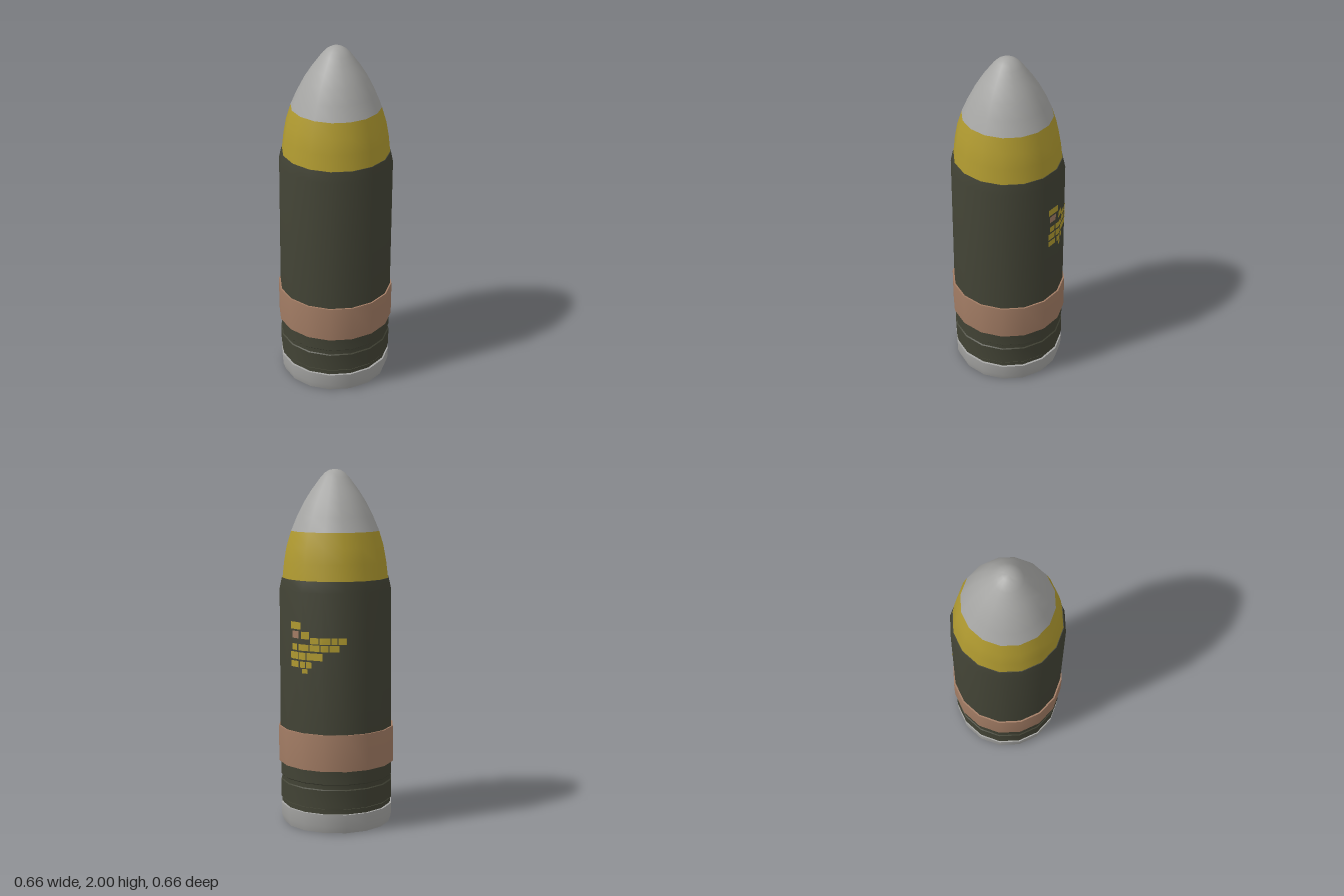
import * as THREE from 'three';
import { toCreasedNormals } from 'three/addons/utils/BufferGeometryUtils.js';

const SIDES = 16;
const lean = (y) => 0.006 * (y - 0.5); // the shell leans very slightly to +x

function material(name, color) {
  const m = new THREE.MeshStandardMaterial({ color });
  m.name = name;
  return m;
}

// Turned section from a bottom-to-top profile of [radius, height]
function turned(name, profile, mat) {
  const geo = new THREE.LatheGeometry(profile.map(([r, y]) => new THREE.Vector2(r, y)), SIDES);
  const p = geo.attributes.position;
  for (let i = 0; i < p.count; i++) p.setX(i, p.getX(i) + lean(p.getY(i)));
  const mesh = new THREE.Mesh(toCreasedNormals(geo, 0.6), mat);
  mesh.name = name;
  return mesh;
}

// Thin paint patch hugging the faceted wall; angles in degrees from the back towards -x
function paintPatch(a0, a1, y0, y1, mat) {
  const step = 360 / SIDES;
  const angles = [a0];
  for (let a = Math.ceil(a0 / step) * step; a < a1; a += step) if (a > a0) angles.push(a);
  angles.push(a1);
  const pos = [], index = [];
  angles.forEach((deg, i) => {
    const local = deg - Math.floor(deg / step) * step - step / 2;
    const r = 0.3205 * Math.cos(Math.PI / SIDES) / Math.cos(THREE.MathUtils.degToRad(local));
    const a = THREE.MathUtils.degToRad(deg);
    for (const y of [y0, y1]) pos.push(-r * Math.sin(a) + lean(y), y, -r * Math.cos(a));
    if (i > 0) {
      const k = 2 * i;
      index.push(k - 2, k, k + 1, k - 2, k + 1, k - 1);
    }
  });
  const geo = new THREE.BufferGeometry();
  geo.setAttribute('position', new THREE.Float32BufferAttribute(pos, 3));
  geo.setIndex(index);
  geo.computeVertexNormals();
  const mesh = new THREE.Mesh(geo, mat);
  mesh.name = 'paintPatch';
  return mesh;
}

export function createModel() {
  const steel = material('bare steel', 0xa6a6a4);
  const olive = material('dark olive', 0x424335);
  const yellow = material('yellow paint', 0xb09a30);
  const copper = material('copper', 0xa27c64);

  const model = new THREE.Group();
  model.name = 'artilleryShell';

  model.add(
    // Base plug
    turned('base', [[0, 0], [0.305, 0], [0.318, 0.04], [0.32, 0.108], [0.305, 0.108]], steel),
    // Grooved lower wall
    turned('lowerWall', [
      [0.307, 0.108], [0.307, 0.118], [0.315, 0.118], [0.315, 0.138], [0.308, 0.138],
      [0.308, 0.145], [0.32, 0.145], [0.32, 0.245], [0.314, 0.25], [0.314, 0.275],
      [0.319, 0.28], [0.319, 0.36],
    ], olive),
    // Driving band
    turned('drivingBand', [[0.316, 0.355], [0.329, 0.355], [0.33, 0.37], [0.33, 0.55], [0.329, 0.56], [0.316, 0.56]], copper),
    // Main body with a chamfered shoulder
    turned('body', [[0.32, 0.555], [0.317, 1.34], [0.304, 1.4], [0.29, 1.4]], olive),
    // Painted ogive ring
    turned('ogiveBand', [[0.3, 1.4], [0.29, 1.49], [0.275, 1.575], [0.249, 1.66]], yellow),
    // Nose cap
    turned('nose', [
      [0.249, 1.66], [0.215, 1.74], [0.174, 1.82], [0.136, 1.88], [0.106, 1.92],
      [0.08, 1.955], [0.056, 1.98], [0.03, 1.995], [0, 2],
    ], steel),
  );

  // Worn paint patches on the back: rows of [bottom, top, [start, end]...]
  const patches = new THREE.Group();
  patches.name = 'wornPaint';
  const rows = [
    [1.135, 1.175, [-16, -2]],
    [1.085, 1.125, [-1, 8]],
    [1.06, 1.095, [9, 18], [19, 30], [31, 37], [38, 46]],
    [1.02, 1.055, [-14, -7], [-5, 7], [8, 19], [20, 28], [29, 39]],
    [0.97, 1.01, [-16, -6], [-5, 4], [5, 22]],
    [0.925, 0.96, [-16, -5], [-3, 3], [4, 10]],
    [0.895, 0.92, [0, 6]],
  ];
  for (const [y0, y1, ...spans] of rows)
    for (const [a0, a1] of spans) patches.add(paintPatch(a0, a1, y0, y1, yellow));
  patches.add(paintPatch(-14, -5, 1.085, 1.125, copper));
  model.add(patches);

  return model;
}
